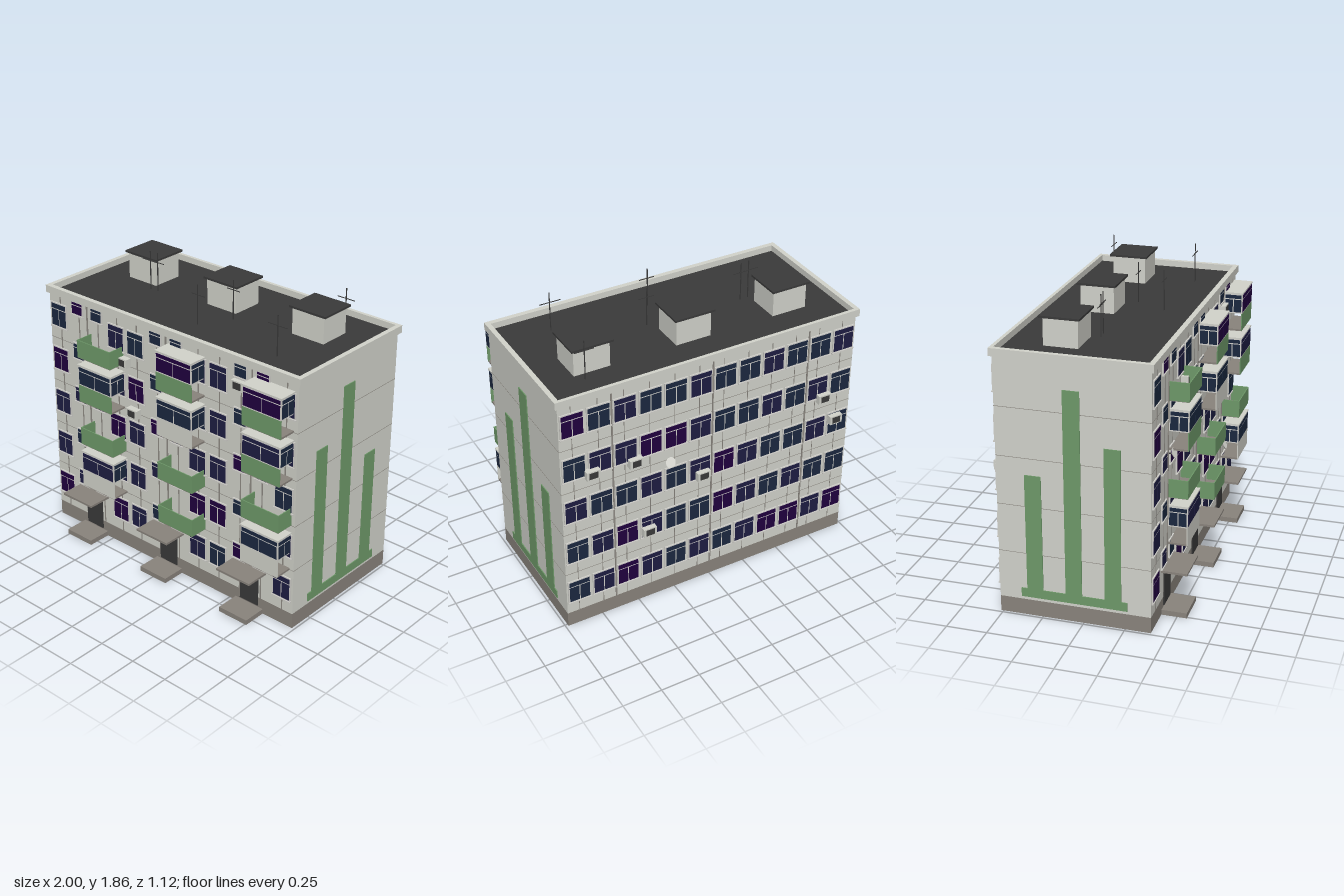
import * as THREE from 'three';

const mat = (name, color) => Object.assign(new THREE.MeshStandardMaterial({ color }), { name });
const M = {
  wall: mat('wall grey', 0xd3d4cc), plinth: mat('plinth brown', 0x8a847d),
  dark: mat('roof dark', 0x3a3a3a), green: mat('panel green', 0x6f9a6a),
  B: mat('blue glass', 0x1b2840), I: mat('indigo glass', 0x1e1d43), P: mat('purple glass', 0x20003f),
  frame: mat('frame grey', 0xd4d3ce), seam: mat('seam grey', 0x918d86), dish: mat('dish pale', 0xdcdcd6),
};
const FRONT = 0.405, BACK = -0.515, SIDE = 0.983;
const CENTRES = [-0.655, 0, 0.655];
const unit = new THREE.BoxGeometry(1, 1, 1);

// Box given by its extents
function box(parent, name, m, x0, x1, y0, y1, z0, z1) {
  const b = new THREE.Mesh(unit, m);
  b.name = name;
  b.position.set((x0 + x1) / 2, (y0 + y1) / 2, (z0 + z1) / 2);
  b.scale.set(x1 - x0, y1 - y0, z1 - z0);
  parent.add(b);
  return b;
}

function group(parent, name, x = 0, y = 0, z = 0, ry = 0) {
  const g = new THREE.Group();
  g.name = name;
  g.position.set(x, y, z);
  g.rotation.y = ry;
  parent.add(g);
  return g;
}

// Transom panes: one strip on top and n panes below
function panes(g, m, x0, x1, y0, y1, z, n, gap = 0.007) {
  const yt = y1 - (y1 - y0) * 0.24;
  box(g, 'topPane', m, x0, x1, yt + gap / 2, y1, z - 0.004, z);
  const w = (x1 - x0 + gap) / n;
  for (let i = 0; i < n; i++)
    box(g, 'pane', m, x0 + i * w, x0 + (i + 1) * w - gap, y0, yt - gap / 2, z - 0.004, z);
}

// Wall window centred on x, base at y = 0, facing +z
function wallWindow(parent, x, y, z, ry, w, h, n, m) {
  const g = group(parent, 'window', x, y, z, ry);
  box(g, 'windowFrame', M.frame, -w / 2, w / 2, 0, h, -0.002, 0.008);
  panes(g, m, -w / 2 + 0.008, w / 2 - 0.008, 0.01, h - 0.008, 0.01, n);
  box(g, 'sill', M.frame, -w / 2 - 0.003, w / 2 + 0.003, -0.004, 0.004, 0, 0.013);
}

function airConditioner(parent, x, y, z, ry) {
  const g = group(parent, 'airConditioner', x, y, z, ry);
  box(g, 'unitCase', M.wall, -0.043, 0.043, -0.029, 0.029, 0, 0.042);
  box(g, 'unitGrille', M.dark, -0.028, 0.028, -0.021, 0.021, 0.04, 0.044);
}

// Shallow disc tipped towards the sky on a short arm
function satelliteDish(parent, x, y, z, ry) {
  const g = group(parent, 'satelliteDish', x, y, z, ry);
  const disc = new THREE.Mesh(new THREE.CylinderGeometry(0.032, 0.026, 0.008, 20), M.dish);
  disc.name = 'disc';
  disc.rotation.x = Math.PI / 2 - 0.4;
  disc.position.z = 0.03;
  g.add(disc);
  box(g, 'arm', M.dark, -0.003, 0.003, -0.008, -0.002, 0, 0.026);
}

function balcony(parent, x, y, glazed, panel, glass) {
  const g = group(parent, glazed ? 'glazedBalcony' : 'openBalcony', x, y, FRONT);
  const w = 0.139, d = 0.118;
  box(g, 'balconySlab', M.plinth, -w + 0.003, w - 0.003, 0, 0.012, 0, d - 0.002);
  box(g, 'frontPanel', panel, -w, w, 0.004, 0.118, d - 0.006, d);
  if (!glazed) {
    for (const s of [-1, 1])
      box(g, 'sidePanel', panel, s * w - (s > 0 ? 0.006 : 0), s * w + (s < 0 ? 0.006 : 0), 0.004, 0.118, 0, d);
    return;
  }
  // Glazing on three sides above the panel, with a flat cover
  box(g, 'glazingFrame', M.frame, -w, w, 0.118, 0.247, d - 0.008, d);
  panes(g, glass, -w + 0.008, w - 0.008, 0.126, 0.239, d + 0.002, 2);
  for (const s of [-1, 1]) {
    const side = group(g, 'sideGlazing', s * w, 0, d / 2, s * Math.PI / 2);
    box(side, 'sideFrame', M.frame, -d / 2, d / 2, 0.118, 0.247, -0.008, 0);
    panes(side, M.B, -d / 2 + 0.007, d / 2 - 0.007, 0.126, 0.239, 0.002, 2);
  }
  box(g, 'balconyCover', M.wall, -w - 0.003, w + 0.003, 0.247, 0.255, 0, d + 0.003);
}

function antenna(parent, x, z, x0, x1) {
  const g = group(parent, 'antenna', 0, 1.6, z);
  box(g, 'mast', M.dark, x - 0.0025, x + 0.0025, 0, 0.258, -0.0025, 0.0025);
  box(g, 'crossBar', M.dark, x0, x1, 0.192, 0.196, -0.002, 0.002);
}

export function createModel() {
  const root = new THREE.Group();
  root.name = 'apartmentBlock';

  // Main volume
  box(root, 'plinth', M.plinth, -SIDE, SIDE, 0, 0.1, BACK, FRONT);
  box(root, 'walls', M.wall, -SIDE, SIDE, 0.1, 1.6, BACK, FRONT);
  box(root, 'roof', M.dark, -0.98, 0.98, 1.6, 1.606, BACK + 0.003, FRONT - 0.01);
  for (const s of [-1, 1])
    box(root, 'sideParapet', M.wall, s > 0 ? 0.97 : -1, s > 0 ? 1 : -0.97, 1.598, 1.645, -0.53, 0.42);
  box(root, 'frontParapet', M.wall, -0.97, 0.97, 1.598, 1.645, 0.388, 0.42);
  box(root, 'backParapet', M.wall, -0.97, 0.97, 1.598, 1.645, -0.53, -0.508);

  // Panel seams and drain pipes
  for (let f = 1; f < 5; f++) {
    const y = 0.1 + f * 0.3;
    box(root, 'floorSeam', M.seam, -SIDE - 0.001, SIDE + 0.001, y, y + 0.003, BACK - 0.001, FRONT + 0.001);
  }
  for (let i = 0; i < 12; i++) {
    const x = -0.89 + i * 0.163;
    box(root, 'frontSeam', M.seam, x - 0.004, x + 0.004, 0.1, 1.6, FRONT, FRONT + 0.002);
    box(root, 'backSeam', M.seam, x - 0.002, x + 0.002, 0.1, 1.6, BACK - 0.002, BACK);
  }
  for (const c of CENTRES) {
    box(root, 'frontPipe', M.seam, c - 0.004, c + 0.004, 0.3, 1.6, FRONT, FRONT + 0.006);
    box(root, 'backPipe', M.seam, c - 0.004, c + 0.004, 0.1, 1.6, BACK - 0.006, BACK);
  }

  // Front windows, glass listed from the ground floor upwards
  const front = ['PIIPB', 'IBIBP', 'BIPBB', 'PIPII', 'IIIPB', 'BIPBB', 'BPIBB', 'IPIBI', 'BPIII', 'PBPBB', 'IBBIP', 'IIBII'];
  front.forEach((col, i) => {
    const x = CENTRES[Math.floor(i / 4)] + [-0.247, -0.082, 0.082, 0.247][i % 4];
    const small = i % 4 === 1 || i % 4 === 2;
    [...col].forEach((k, f) => {
      if (small) wallWindow(root, x, 0.309 + f * 0.3, FRONT, 0, 0.1, f === 4 ? 0.091 : 0.111, 1, M[k]);
      else wallWindow(root, x, 0.182 + f * 0.3, FRONT, 0, 0.136, 0.162, 2, M[k]);
    });
  });

  // Back windows, rows from the ground floor upwards, from +x to -x
  ['BIPIBIBIPPIP', 'BIPIBBPIBIBB', 'IBBIBIPIBBIB', 'BIIPPIBBIBIB', 'PBIBBIBBIBBI'].forEach((row, f) =>
    [...row].forEach((k, i) =>
      wallWindow(root, 0.9 - i * 0.1637, 0.182 + f * 0.3, BACK, Math.PI, 0.148, 0.162, 2, M[k])));

  // Entrances
  for (const c of CENTRES) {
    const e = group(root, 'entrance', c, 0, FRONT);
    box(e, 'step', M.plinth, -0.106, 0.106, 0, 0.032, 0, 0.154);
    box(e, 'door', M.dark, -0.069, 0.069, 0.044, 0.275, 0, 0.007);
    box(e, 'canopy', M.plinth, -0.126, 0.126, 0.288, 0.302, 0, 0.158);
  }

  // Balconies: section, floor, glazed, panel colour, glass
  [
    [0, 0, 1, 'wall', 'I'], [0, 1, 0, 'green'], [0, 2, 1, 'green', 'B'], [0, 3, 0, 'green'],
    [1, 0, 0, 'green'], [1, 1, 0, 'green'], [1, 2, 1, 'wall', 'B'], [1, 3, 1, 'green', 'P'],
    [2, 0, 1, 'wall', 'B'], [2, 1, 0, 'green'], [2, 2, 1, 'green', 'I'], [2, 3, 1, 'green', 'P'],
  ].forEach(([s, f, glazed, p, g]) =>
    balcony(root, CENTRES[s] + 0.163, 0.4 + f * 0.3, glazed, M[p], M[g]));

  // Painted bars on both end walls
  for (const s of [-1, 1]) {
    const bar = (z0, z1, y0, y1) =>
      box(root, 'paintedBar', M.green, s * 0.9855 - 0.0035, s * 0.9855 + 0.0035, y0, y1, z0, z1);
    bar(-0.38, 0.265, 0.12, 0.175);
    bar(0.13, 0.228, 0.175, 1.12);
    bar(-0.108, -0.008, 0.175, 1.44);
    bar(-0.344, -0.245, 0.175, 0.9);
  }

  // Roof access huts and antennas
  for (const c of CENTRES) {
    box(root, 'roofHut', M.wall, c - 0.114, c + 0.114, 1.6, 1.772, -0.292, -0.084);
    box(root, 'hutCap', M.dark, c - 0.131, c + 0.131, 1.772, 1.785, -0.312, -0.07);
  }
  [[-0.53, -0.028, -0.595, -0.465], [-0.475, -0.033, -0.53, -0.425], [0.045, 0.18, 0, 0.1],
    [0.155, -0.012, 0.105, 0.205], [0.67, 0.21, 0.6, 0.735], [0.725, -0.347, 0.665, 0.785]]
    .forEach((a) => antenna(root, ...a));

  // Wall equipment
  [[-0.335, 1.33], [-0.26, 1.01], [0.575, 1.475]].forEach(([x, y]) => airConditioner(root, x, y, FRONT, 0));
  [[0.795, 1.1], [0.52, 1.08], [0.07, 0.82], [0.437, 0.54], [-0.775, 1.09], [-0.87, 0.905]]
    .forEach(([x, y]) => airConditioner(root, x, y, BACK, Math.PI));
  satelliteDish(root, -0.63, 0.985, FRONT, 0);
  satelliteDish(root, 0.655, 0.515, FRONT, 0);
  satelliteDish(root, 0.295, 1.0, BACK, Math.PI);
  return root;
}
